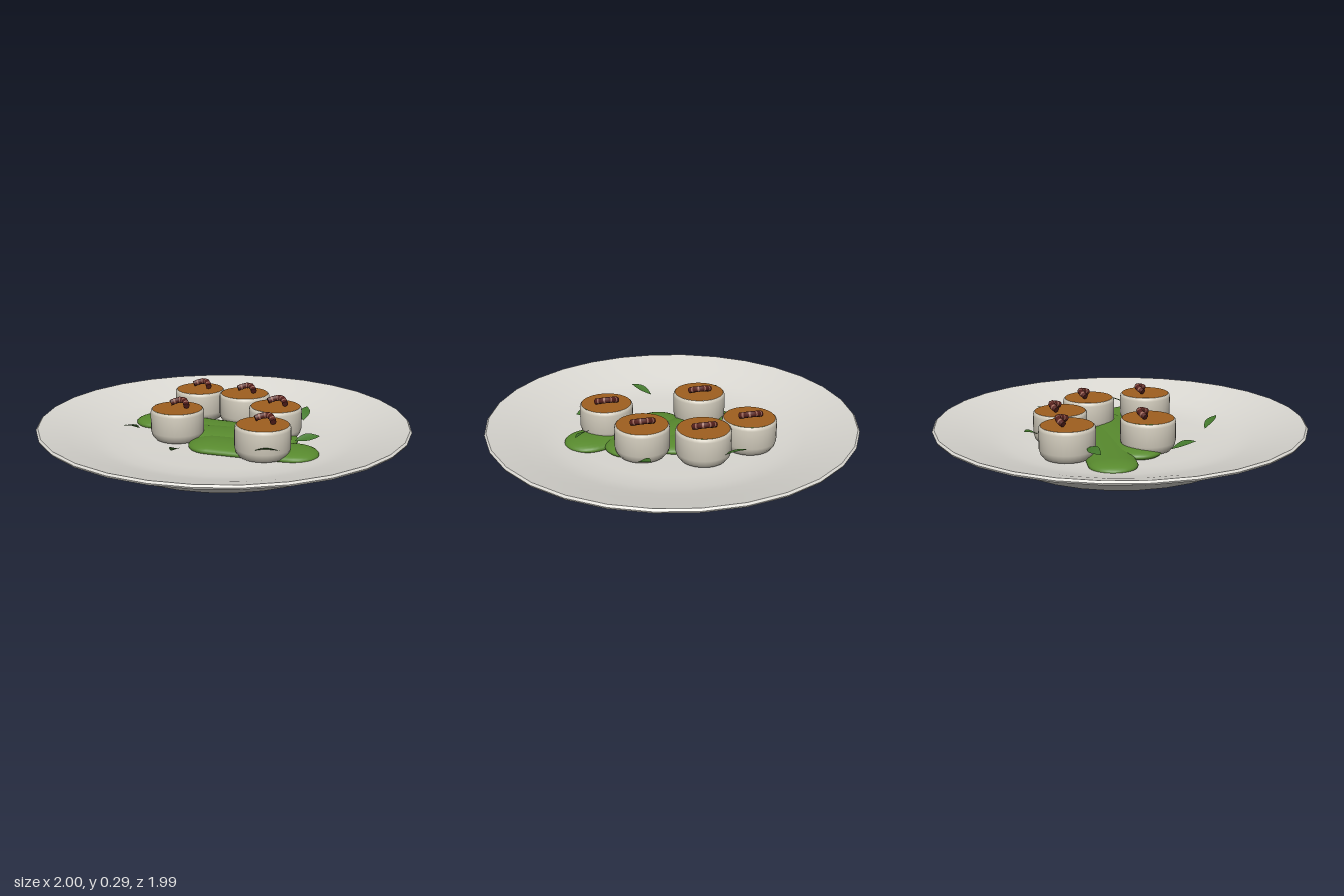
import * as THREE from 'three';
import { toCreasedNormals } from 'three/addons/utils/BufferGeometryUtils.js';

const mat = (color, side = THREE.FrontSide) => new THREE.MeshStandardMaterial({ color, side });
const MATS = {
  plate: mat(0xdad8d2),
  puree: mat(0x588a2e),
  flesh: mat(0xd0cabb),
  sear: mat(0xa0601f),
  meat: mat(0x56201c),
  fat: mat(0xa06a5c),
  leaf: mat(0x43782c, THREE.DoubleSide),
};

function part(name, geometry, material) {
  const mesh = new THREE.Mesh(geometry, material);
  mesh.name = name;
  return mesh;
}

function lathe(points, sides) {
  return new THREE.LatheGeometry(points.map(([r, y]) => new THREE.Vector2(r, y)), sides);
}

// Wide plate: flat foot, flared underside, thin rim, shallow well
function createPlate() {
  const profile = [
    [0, 0], [0.65, 0], [0.7, 0.045], [0.85, 0.1], [0.995, 0.155], [1, 0.165], [0.99, 0.175],
    [0.85, 0.135], [0.72, 0.095], [0.62, 0.071], [0.5, 0.062], [0, 0.06],
  ];
  const geo = toCreasedNormals(lathe(profile, 30), 0.65);
  geo.rotateY(Math.PI / 2);
  return part('plate', geo, MATS.plate);
}

// Flattened smear of puree lying in the well
function createSmear(x, z, half, radius, angle, y) {
  const geo = new THREE.CapsuleGeometry(radius, 2 * (half - radius), 8, 24);
  geo.rotateZ(Math.PI / 2).scale(1, 0.035 / radius, 1);
  const mesh = part('pureeSmear', geo, MATS.puree);
  mesh.position.set(x, y, z);
  mesh.rotation.y = angle;
  return mesh;
}

// Curved strip along an arch, with pale bands across it
class Arch extends THREE.Curve {
  constructor(from = 0, to = 1) {
    super();
    this.from = from;
    this.to = to;
  }
  getPoint(t, target = new THREE.Vector3()) {
    const s = 2 * (this.from + (this.to - this.from) * t) - 1;
    const lift = 1 - Math.pow(Math.abs(s), 1.8);
    return target.set(0.056 * s, 0.252 + 0.018 * lift, -0.01 - 0.036 * lift);
  }
}

function createCrispStrip() {
  const strip = new THREE.Group();
  strip.name = 'crispStrip';
  strip.add(part('strip', new THREE.TubeGeometry(new Arch(), 14, 0.0165, 8), MATS.meat));
  for (const [t, flip] of [[0, Math.PI], [1, 0]]) {
    const end = part('stripEnd', new THREE.CircleGeometry(0.0165, 8), MATS.meat);
    const curve = new Arch();
    const p = curve.getPoint(t);
    end.position.copy(p);
    end.lookAt(p.clone().add(curve.getTangent(t).multiplyScalar(flip ? -1 : 1)));
    strip.add(end);
  }
  for (const t of [0.14, 0.38, 0.62, 0.86]) {
    const band = new THREE.TubeGeometry(new Arch(t - 0.03, t + 0.03), 2, 0.0175, 8);
    strip.add(part('fatBand', band, MATS.fat));
  }
  return strip;
}

// Round scallop: pale side, seared top, crisp strip
function createScallop(x, z) {
  const scallop = new THREE.Group();
  scallop.name = 'scallop';
  const side = [[0, 0.07], [0.122, 0.07], [0.138, 0.09], [0.145, 0.115], [0.145, 0.215], [0.142, 0.228], [0.135, 0.234]];
  scallop.add(part('side', toCreasedNormals(lathe(side, 32), 0.7), MATS.flesh));
  const top = part('searedTop', new THREE.CircleGeometry(0.1355, 32).rotateX(-Math.PI / 2), MATS.sear);
  top.position.y = 0.2345;
  scallop.add(top, createCrispStrip());
  scallop.position.set(x, 0, z);
  return scallop;
}

// Small pointed leaf, lightly cupped; lean tips it toward or away from the front
function createLeaf(x0, z0, x1, z1, lean) {
  const dx = x1 - x0, dz = z1 - z0, length = Math.hypot(dx, dz);
  const geo = new THREE.PlaneGeometry(length, 0.054, 8, 2).rotateX(-Math.PI / 2);
  const pos = geo.attributes.position;
  for (let i = 0; i < pos.count; i++) {
    const u = pos.getX(i) / length + 0.5;
    const z = pos.getZ(i) * Math.sin(Math.PI * u);
    pos.setY(i, Math.abs(z) * 0.2 + 0.006 * Math.sin(Math.PI * u));
    pos.setZ(i, z);
  }
  geo.rotateY(Math.atan2(-dz, dx));
  geo.computeVertexNormals();
  const leaf = part('leaf', geo, MATS.leaf);
  leaf.quaternion.setFromAxisAngle(new THREE.Vector3(0.82, 0, -0.57).normalize(), -0.42 * lean);
  leaf.position.set((x0 + x1) / 2, 0.142, (z0 + z1) / 2);
  return leaf;
}

export function createModel() {
  const model = new THREE.Group();
  model.name = 'scallopDish';
  model.add(createPlate());

  for (const s of [
    [-0.23, -0.06, 0.38, 0.125, 0.24, 0.07],
    [0, 0, 0.41, 0.13, 0.4, 0.076],
    [0.25, 0.08, 0.35, 0.13, 0.34, 0.07],
  ]) model.add(createSmear(...s));

  for (const [x, z] of [[-0.36, -0.24], [-0.09, -0.315], [0.205, -0.195], [-0.195, 0.16], [0.34, 0.12]]) {
    model.add(createScallop(x, z));
  }

  for (const l of [
    [-0.28, -0.48, -0.15, -0.42, -1],
    [0.22, -0.5, 0.27, -0.38, -1],
    [0.54, -0.11, 0.455, 0, -1],
    [-0.55, -0.05, -0.44, -0.13, 1],
    [-0.365, 0.28, -0.36, 0.41, 1],
    [0.015, 0.455, 0.125, 0.53, 1],
    [0.38, 0.26, 0.5, 0.2, 1],
  ]) model.add(createLeaf(...l));

  return model;
}
